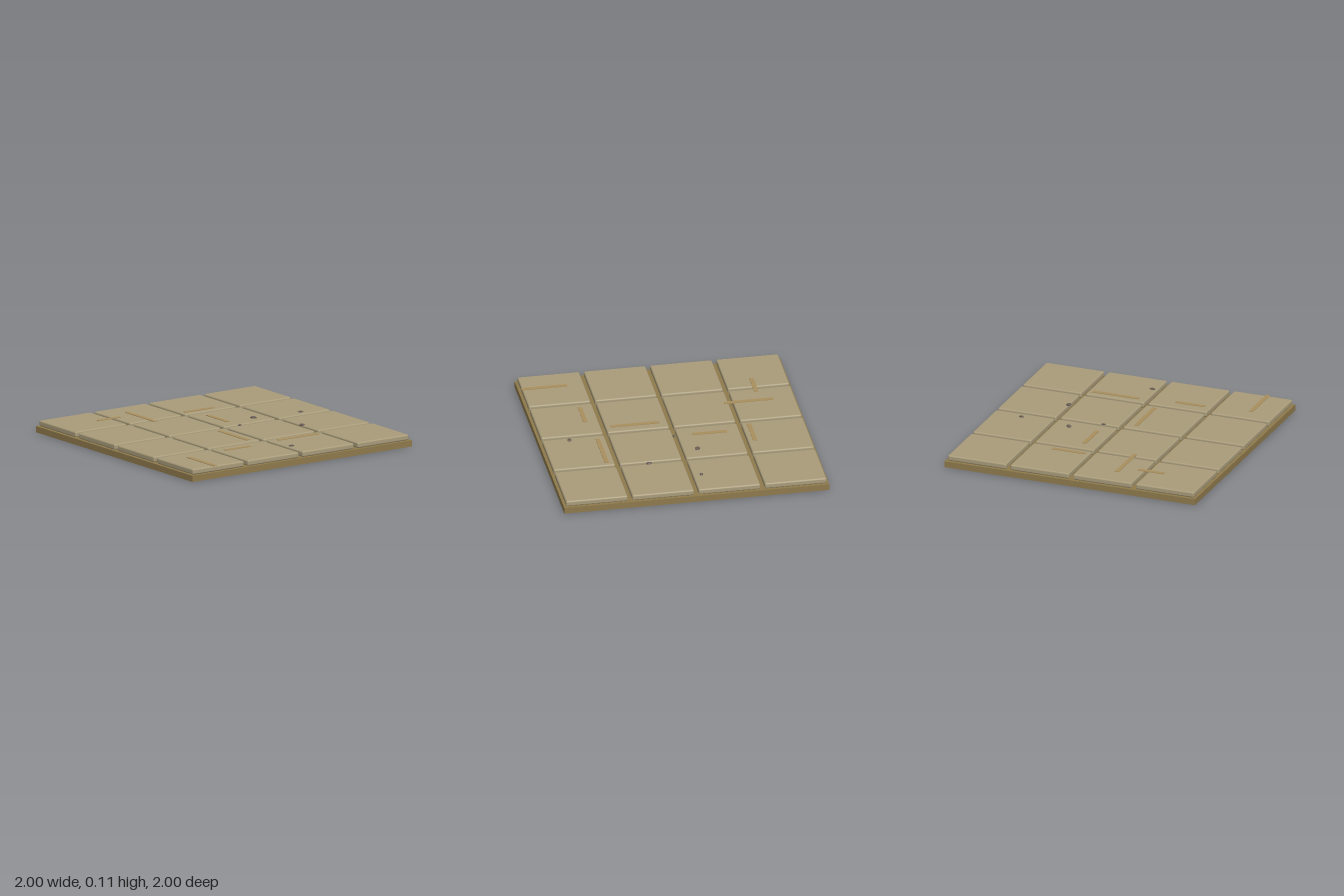
import * as THREE from 'three';
import { RoundedBoxGeometry } from 'three/addons/geometries/RoundedBoxGeometry.js';

const material = (color, flatShading = false) => {
  const m = new THREE.MeshStandardMaterial({ color });
  m.flatShading = flatShading;
  return m;
};

export function createModel() {
  const root = new THREE.Group();
  root.name = 'tiledFloor';

  const add = (name, geometry, mat, x, y, z) => {
    const mesh = new THREE.Mesh(geometry, mat);
    mesh.name = name;
    mesh.position.set(x, y, z);
    root.add(mesh);
    return mesh;
  };

  // Slab that shows through as the grout lines
  add('base', new THREE.BoxGeometry(2, 0.047, 2), material(0x8f7a4c), 0, 0.0235, 0);

  // 4 x 4 tiles with softened edges
  const tileMaterial = material(0xa99c7a);
  const tileGeometry = new RoundedBoxGeometry(0.466, 0.044, 0.466, 2, 0.012);
  for (let row = 0; row < 4; row++) {
    for (let col = 0; col < 4; col++) {
      add(`tile${row}${col}`, tileGeometry, tileMaterial, col * 0.5 - 0.75, 0.069, row * 0.5 - 0.75);
    }
  }

  // Thin straw strips: centre x, centre z, size x, size z
  const stripMaterial = material(0xa98f5e);
  [
    [-0.537, -0.718, 0.205, 0.032],
    [-0.302, -0.635, 0.032, 0.37],
    [0.18, -0.57, 0.262, 0.032],
    [0.13, -0.26, 0.032, 0.26],
    [-0.098, 0.262, 0.032, 0.365],
    [-0.315, 0.615, 0.23, 0.032],
    [0.265, 0.575, 0.37, 0.032],
    [-0.786, 0.817, 0.032, 0.345],
  ].forEach(([x, z, w, d], i) => {
    add(`strip${i}`, new THREE.BoxGeometry(w, 0.005, d), stripMaterial, x, 0.0925, z);
  });

  // Faceted pebbles: x, z, radii along x, y and z, turn
  const pebbleMaterial = material(0x6b5f56, true);
  const pebbleGeometry = new THREE.DodecahedronGeometry(1, 0);
  [
    [0.357, -0.125, 0.028, 0.013, 0.02, -0.7],
    [0.755, -0.08, 0.023, 0.009, 0.014, -0.3],
    [0.135, 0.01, 0.018, 0.007, 0.011, 0.2],
    [0.517, 0.27, 0.02, 0.009, 0.024, 0.1],
    [0.055, 0.785, 0.025, 0.009, 0.016, -0.2],
  ].forEach(([x, z, rx, ry, rz, turn], i) => {
    const pebble = add(`pebble${i}`, pebbleGeometry, pebbleMaterial, x, 0.093, z);
    pebble.scale.set(rx, ry, rz);
    pebble.rotation.y = turn;
  });

  return root;
}
